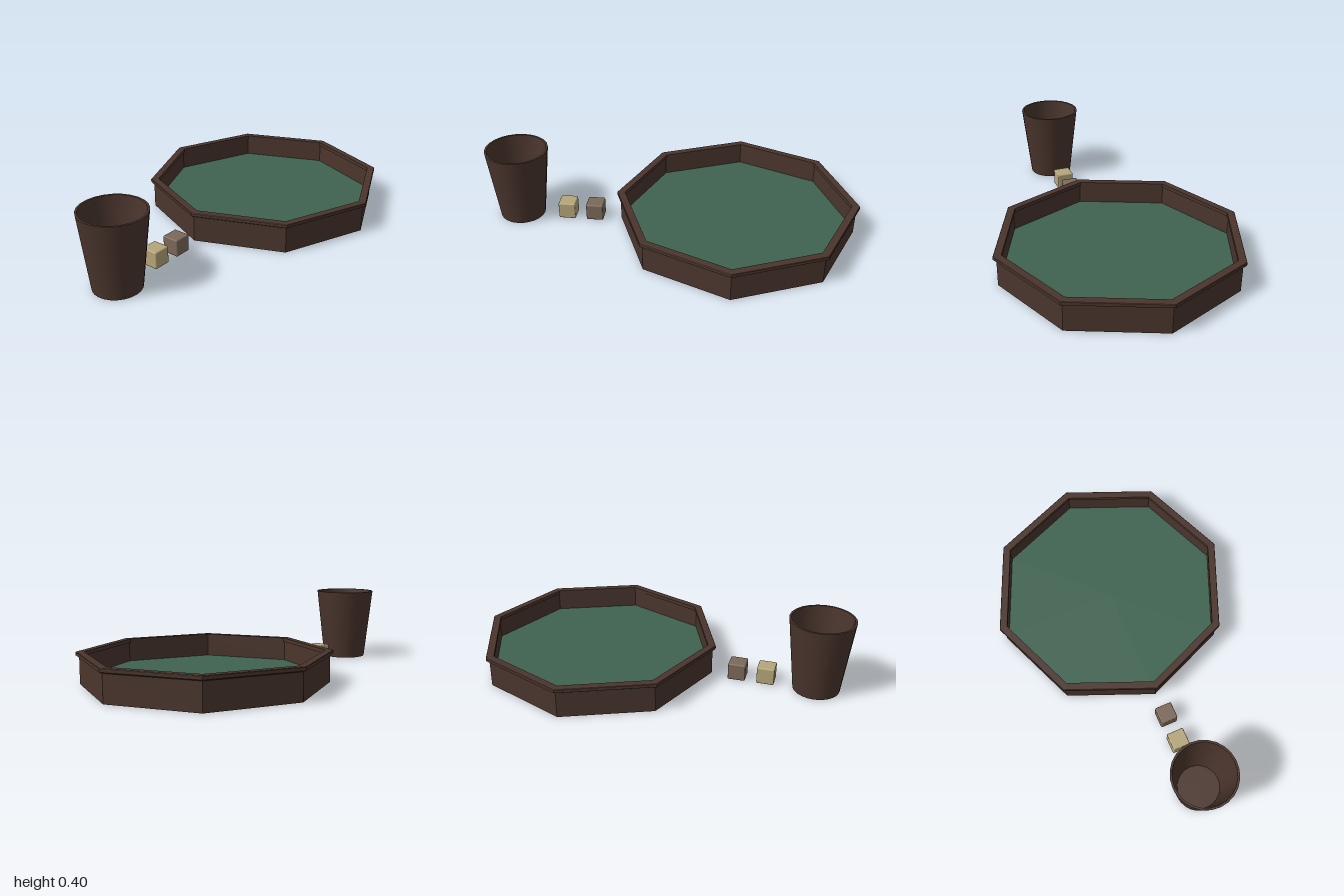
import * as THREE from 'three';
import { RoundedBoxGeometry } from 'three/addons/geometries/RoundedBoxGeometry.js';

const mat = (name, color) => {
  const m = new THREE.MeshStandardMaterial({ color });
  m.name = name;
  return m;
};

const lathe = (profile, sides) =>
  new THREE.LatheGeometry(profile.map(([r, y]) => new THREE.Vector2(r, y)), sides);

// Octagonal ring with a flat normal on every face
function octagon(profile) {
  const g = lathe(profile, 8).toNonIndexed();
  g.computeVertexNormals();
  return g;
}

export function createModel() {
  const wood = mat('darkWood', 0x4a352d);
  const felt = mat('greenFelt', 0x3f6350);
  const ivory = mat('ivory', 0xb5a579);
  const taupe = mat('taupe', 0x7c6959);

  const model = new THREE.Group();
  model.name = 'diceSet';
  const add = (parent, name, geometry, material) => {
    const mesh = new THREE.Mesh(geometry, material);
    mesh.name = name;
    parent.add(mesh);
    return mesh;
  };

  // Eight-sided tray with a corner pointing forward
  const tray = new THREE.Group();
  tray.name = 'tray';
  tray.position.z = -0.353;
  model.add(tray);
  add(tray, 'trayBody', octagon([[0, 0], [0.63, 0], [0.63, 0.145]]), wood);
  add(tray, 'trayInnerWall', octagon([[0.613, 0.145], [0.613, 0.04]]), wood);
  add(tray, 'trayRim', octagon([
    [0.605, 0.145], [0.637, 0.141], [0.647, 0.147], [0.647, 0.163],
    [0.645, 0.165], [0.605, 0.165], [0.605, 0.145],
  ]), wood);
  add(tray, 'feltFloor', octagon([[0.613, 0.04], [0, 0.04]]), felt);

  // Tapered cup: each profile segment is its own surface, so edges stay sharp
  const cup = new THREE.Group();
  cup.name = 'cup';
  cup.position.z = 0.832;
  model.add(cup);
  const cupProfile = [
    ['cupBase', [0, 0], [0.122, 0]],
    ['cupOuterWall', [0.122, 0], [0.168, 0.397]],
    ['cupLip', [0.168, 0.397], [0.157, 0.397]],
    ['cupInnerWall', [0.157, 0.397], [0.112, 0.015]],
    ['cupFloor', [0.112, 0.015], [0, 0.015]],
  ];
  for (const [name, from, to] of cupProfile) add(cup, name, lathe([from, to], 24), wood);

  // Two dice between the tray and the cup
  for (const [name, z, material] of [['taupeDie', 0.418, taupe], ['ivoryDie', 0.571, ivory]]) {
    const die = add(model, name, new RoundedBoxGeometry(0.092, 0.092, 0.092, 2, 0.007), material);
    die.position.set(0, 0.047, z);
  }

  return model;
}
